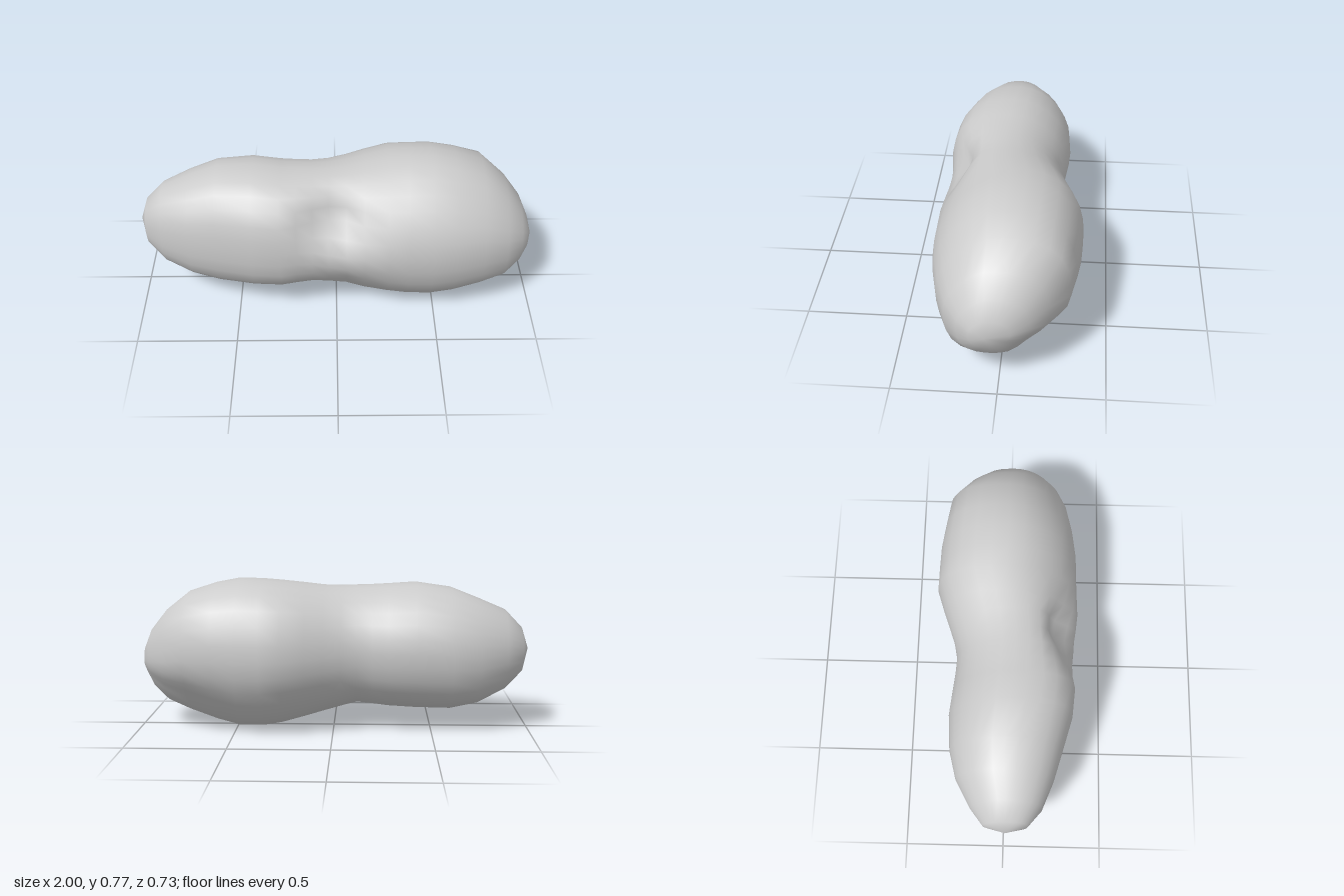
import * as THREE from 'three';

// Cross-sections along the body: x, top y, bottom y, back z, front z
const SECTIONS = [
  [-1, 0.41, 0.41, 0.01, 0.01],
  [-0.965, 0.52, 0.29, -0.1, 0.12],
  [-0.88, 0.61, 0.2, -0.165, 0.19],
  [-0.74, 0.67, 0.13, -0.24, 0.245],
  [-0.6, 0.725, 0.1, -0.275, 0.285],
  [-0.42, 0.748, 0.1, -0.285, 0.335],
  [-0.28, 0.737, 0.105, -0.27, 0.348],
  [-0.2, 0.733, 0.115, -0.26, 0.338],
  [-0.12, 0.731, 0.122, -0.255, 0.342],
  [-0.04, 0.73, 0.1, -0.27, 0.353],
  [0.05, 0.735, 0.075, -0.3, 0.363],
  [0.14, 0.747, 0.05, -0.332, 0.366],
  [0.26, 0.762, 0.02, -0.37, 0.358],
  [0.36, 0.77, 0.002, -0.368, 0.355],
  [0.48, 0.773, 0, -0.363, 0.353],
  [0.6, 0.75, 0.03, -0.345, 0.337],
  [0.74, 0.705, 0.08, -0.322, 0.305],
  [0.86, 0.61, 0.125, -0.23, 0.255],
  [0.94, 0.51, 0.2, -0.145, 0.19],
  [0.98, 0.42, 0.27, -0.06, 0.13],
  [1, 0.34, 0.34, 0.06, 0.06],
];
const SIDES = 28;

// Swelling of each quarter: front top, back top, back bottom, front bottom
const SMALL_LOBE = [0.08, -0.02, 0.03, 0.09];
const LARGE_LOBE = [-0.035, 0.05, -0.05, 0.03];
const LARGE_END = [-0.05, 0.09, -0.16, 0.11];

// Hollows pressed into the front of the waist: x, y, width, height, depth
const HOLLOWS = [
  [0, 0.57, 0.15, 0.11, 0.11],
  [0.05, 0.19, 0.13, 0.1, 0.055],
];

function hollowDepth(x, y) {
  return HOLLOWS.reduce((sum, [hx, hy, w, h, d]) =>
    sum + d * Math.exp(-(((x - hx) / w) ** 2) - ((y - hy) / h) ** 2), 0);
}

// Two-lobed body lofted through uneven rounded rings, closed by a point at each end
function bodyGeometry() {
  const { lerp, smoothstep } = THREE.MathUtils;
  const positions = [];
  const index = [];
  const last = SECTIONS.length - 1;
  const rings = SECTIONS.slice(1, last);

  for (const [x, top, bottom, back, front] of rings) {
    for (let j = 0; j < SIDES; j++) {
      const a = (j / SIDES) * Math.PI * 2;
      const q = Math.floor((j / SIDES) * 4);
      const large = lerp(LARGE_LOBE[q], LARGE_END[q], smoothstep(x, 0.4, 0.85));
      const swell = lerp(SMALL_LOBE[q], large, smoothstep(x, -0.25, 0.25));
      const r = 1 + swell * Math.sin(2 * a) ** 2;
      const y = (top + bottom) / 2 + ((top - bottom) / 2) * r * Math.sin(a);
      let z = (front + back) / 2 + ((front - back) / 2) * r * Math.cos(a);
      if (Math.cos(a) > 0.01) z -= hollowDepth(x, y) * Math.min(1, 2 * Math.cos(a));
      positions.push(x, y, z);
    }
  }
  const startTip = positions.length / 3;
  for (const s of [SECTIONS[0], SECTIONS[last]]) positions.push(s[0], s[1], s[3]);

  const end = (rings.length - 1) * SIDES;
  for (let j = 0; j < SIDES; j++) {
    const k = (j + 1) % SIDES;
    for (let r = 0; r < end; r += SIDES) {
      index.push(r + j, r + SIDES + j, r + k);
      index.push(r + k, r + SIDES + j, r + SIDES + k);
    }
    index.push(startTip, j, k, startTip + 1, end + k, end + j);
  }

  const geometry = new THREE.BufferGeometry();
  geometry.setAttribute('position', new THREE.Float32BufferAttribute(positions, 3));
  geometry.setIndex(index);
  geometry.computeVertexNormals();
  return geometry;
}

export function createModel() {
  const group = new THREE.Group();
  group.name = 'asteroid';
  const body = new THREE.Mesh(bodyGeometry(), new THREE.MeshStandardMaterial({ color: 0xcccccc }));
  body.name = 'body';
  group.add(body);
  return group;
}
